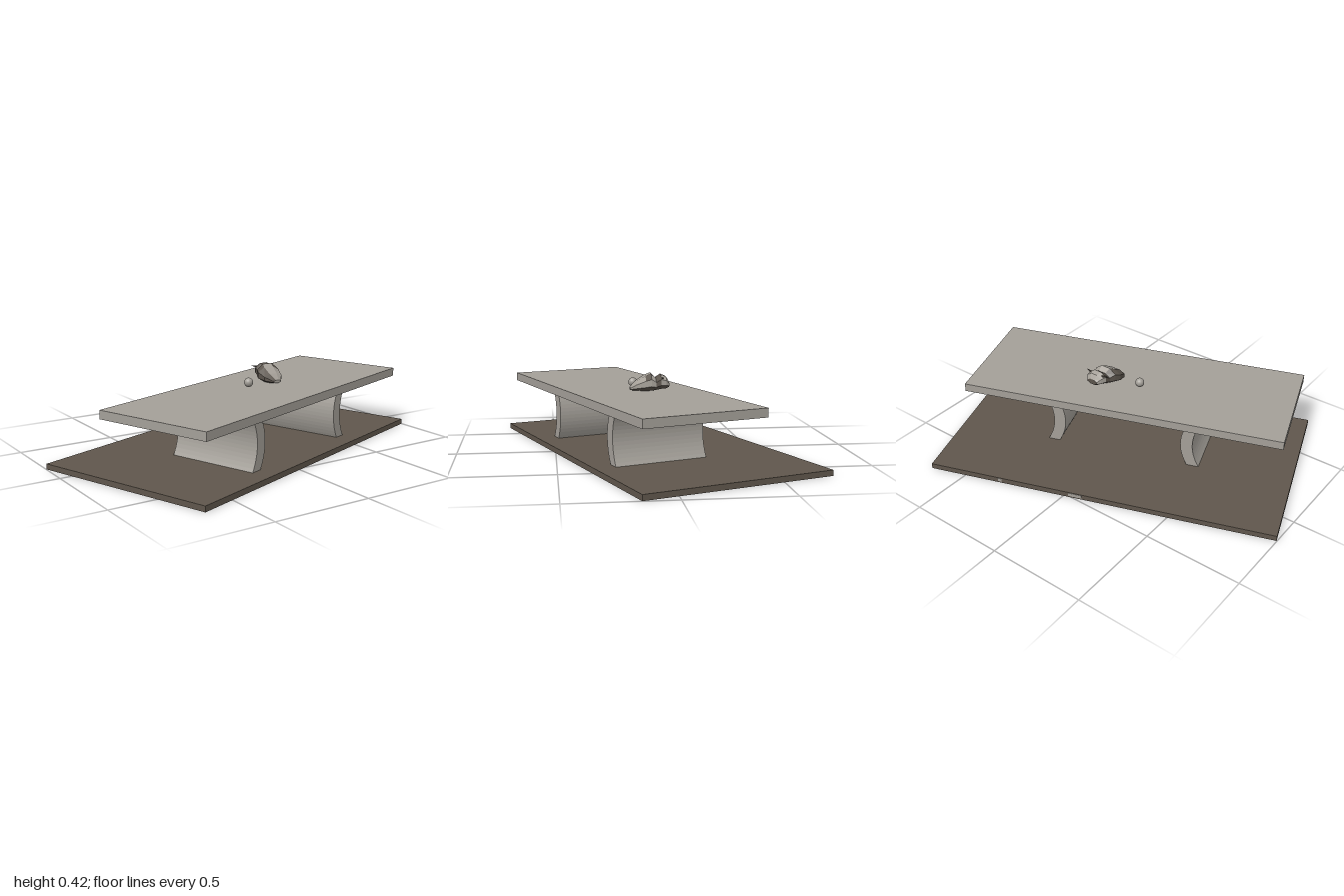
import * as THREE from 'three';

const mat = (name, color, extra = {}) => {
  const m = new THREE.MeshStandardMaterial({ color, ...extra });
  m.name = name;
  return m;
};

export function createModel() {
  const stone = mat('paleStone', 0xa39f98);
  const earth = mat('darkEarth', 0x5f564c);
  const bone = mat('paleBone', 0xa5a098, { flatShading: true });
  const shade = mat('darkBone', 0x5a534b, { flatShading: true });

  const model = new THREE.Group();
  model.name = 'stoneBench';
  const add = (parent, name, geometry, material, x = 0, y = 0, z = 0) => {
    const mesh = new THREE.Mesh(geometry, material);
    mesh.name = name;
    mesh.position.set(x, y, z);
    parent.add(mesh);
    return mesh;
  };

  // Bench and ground plate share one turned frame
  const bench = new THREE.Group();
  bench.name = 'bench';
  bench.rotation.y = 0.338;
  model.add(bench);
  add(bench, 'groundPlate', new THREE.BoxGeometry(1.775, 0.028, 0.97), earth, 0, 0.014, 0);
  add(bench, 'seatSlab', new THREE.BoxGeometry(1.66, 0.043, 0.62), stone, -0.007, 0.308, 0.143);

  // Pale chips on the back edge of the plate
  for (const [x, w] of [[0.51, 0.02], [0.11, 0.07]])
    add(bench, 'edgeChip', new THREE.BoxGeometry(w, 0.018, 0.004), stone, x, 0.016, -0.485);

  // Bowed legs, curving toward each other
  const bottom = 0.026, top = 0.289, steps = 14;
  for (const side of [-1, 1]) {
    const pts = [];
    const edge = (x, t) => {
      const bow = 0.038 * (1 - (2 * t - 1) ** 2);
      pts.push(new THREE.Vector2(side * (x - bow), bottom + (top - bottom) * t));
    };
    for (let i = 0; i <= steps; i++) edge(0.408, i / steps);
    for (let i = steps; i >= 0; i--) edge(0.346, i / steps);
    const geo = new THREE.ExtrudeGeometry(new THREE.Shape(pts), { depth: 0.48, bevelEnabled: false });
    add(bench, side > 0 ? 'leftLeg' : 'rightLeg', geo, stone, -0.008, 0, -0.095);
  }

  // Small ball on the seat
  add(model, 'ball', new THREE.SphereGeometry(0.023, 20, 14), stone, -0.012, 0.353, 0.1);

  // Faceted skull: rings of z, centre x, half width, bottom y, top y
  const rings = [
    [0.13, 0.145, 0.022, 0.335, 0.35],
    [0.1, 0.14, 0.054, 0.333, 0.38],
    [0.055, 0.143, 0.066, 0.331, 0.408],
    [0.028, 0.152, 0.063, 0.333, 0.42],
    [0.005, 0.16, 0.052, 0.337, 0.397],
    [-0.02, 0.166, 0.052, 0.343, 0.415],
    [-0.045, 0.171, 0.044, 0.345, 0.405],
    [-0.06, 0.173, 0.03, 0.352, 0.38],
  ];
  const n = 8;
  const point = (r, k) => {
    const [z, cx, w, y0, y1] = rings[r];
    const a = ((k + 0.5) / n) * Math.PI * 2;
    return [cx + w * 1.06 * Math.cos(a), (y0 + y1) / 2 + ((y1 - y0) / 2) * 1.06 * Math.sin(a), z];
  };
  const faces = { pale: [], dark: [] };
  for (let r = 0; r < rings.length - 1; r++) {
    for (let k = 0; k < n; k++) {
      const a = point(r, k), b = point(r, k + 1), c = point(r + 1, k + 1), d = point(r + 1, k);
      const dark = (r < 4 && (k === 2 || k === 3)) || r === 4 || (k > 3 && k < 7) || (r === 2 && k === 0);
      faces[dark ? 'dark' : 'pale'].push(...a, ...d, ...b, ...b, ...d, ...c);
    }
  }
  // End caps
  for (let k = 1; k < n - 1; k++) {
    faces.pale.push(...point(0, 0), ...point(0, k), ...point(0, k + 1));
    const e = rings.length - 1;
    faces.dark.push(...point(e, 0), ...point(e, k + 1), ...point(e, k));
  }
  const skull = new THREE.Group();
  skull.name = 'skull';
  model.add(skull);
  for (const [key, material] of [['pale', bone], ['dark', shade]]) {
    const geo = new THREE.BufferGeometry();
    geo.setAttribute('position', new THREE.Float32BufferAttribute(faces[key], 3));
    geo.computeVertexNormals();
    material.side = THREE.DoubleSide;
    add(skull, key + 'SkullFaces', geo, material);
  }

  // Short spikes at the sides of the skull
  for (const side of [-1, 1]) {
    const spike = add(skull, 'spike', new THREE.ConeGeometry(0.009, 0.045, 5), shade,
      0.165 + side * 0.05, 0.4, -0.025);
    spike.rotation.z = -side * 1.35;
  }
  return model;
}
